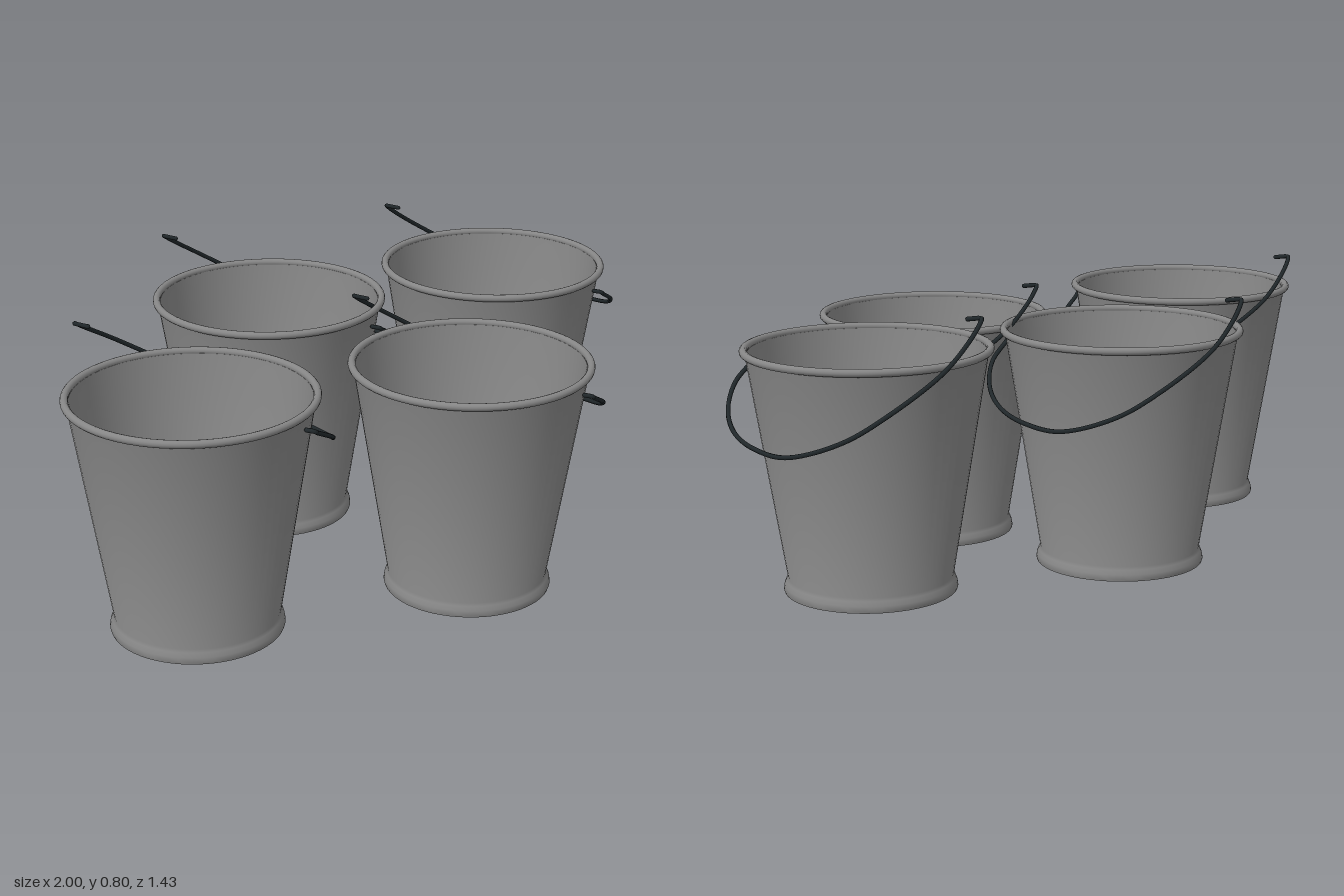
import * as THREE from 'three';
import { toCreasedNormals } from 'three/addons/utils/BufferGeometryUtils.js';

const metal = new THREE.MeshStandardMaterial({ color: 0x868686 });
metal.name = 'greyMetal';
const wire = new THREE.MeshStandardMaterial({ color: 0x20272a });
wire.name = 'darkWire';

const add = (group, name, geometry, material) => {
  const mesh = new THREE.Mesh(geometry, material);
  mesh.name = name;
  group.add(mesh);
  return mesh;
};

const lathe = (points) => toCreasedNormals(
  new THREE.LatheGeometry(points.map(([r, y]) => new THREE.Vector2(r, y)), 64), 0.75);

// Tapered shell: base band, outer wall, inner wall, rounded floor edge
const shellGeometry = lathe([
  [0, 0], [0.226, 0], [0.228, 0.006], [0.226, 0.018], [0.221, 0.03], [0.217, 0.038],
  [0.313, 0.634], [0.306, 0.634], [0.211, 0.045], [0.205, 0.034], [0.196, 0.029], [0, 0.029],
]);

// Rolled lip
const rimGeometry = new THREE.TorusGeometry(0.316, 0.0105, 12, 64);
rimGeometry.rotateX(Math.PI / 2);

// Swung-down wire handle with a small hook at each end, relative to the bucket
const handlePath = new THREE.CatmullRomCurve3([
  [-0.104, 0.751, -0.316], [-0.125, 0.755, -0.346], [-0.118, 0.751, -0.356],
  [-0.056, 0.711, -0.397], [0.046, 0.648, -0.434], [0.185, 0.56, -0.413],
  [0.276, 0.498, -0.359], [0.361, 0.45, -0.242], [0.383, 0.447, -0.107],
  [0.367, 0.462, 0.037], [0.319, 0.496, 0.16], [0.255, 0.542, 0.24],
  [0.185, 0.582, 0.278], [0.172, 0.591, 0.286], [0.16, 0.592, 0.268],
].map((p) => new THREE.Vector3(...p)));
const handleGeometry = new THREE.TubeGeometry(handlePath, 140, 0.006, 8);
const tipGeometry = new THREE.SphereGeometry(0.006, 8, 6);

function makeBucket() {
  const bucket = new THREE.Group();
  bucket.name = 'bucket';
  add(bucket, 'shell', shellGeometry, metal);
  add(bucket, 'rim', rimGeometry, metal).position.y = 0.638;
  add(bucket, 'handle', handleGeometry, wire);
  for (const t of [0, 1]) {
    add(bucket, 'handleTip', tipGeometry, wire).position.copy(handlePath.getPoint(t));
  }
  return bucket;
}

export function createModel() {
  const model = new THREE.Group();
  model.name = 'buckets';
  // Bucket positions; the front one stands a little lower
  const places = [
    [-0.673, 0.037, 0.201],
    [-0.09, 0.037, -0.291],
    [0.609, 0.037, -0.143],
    [0.093, 0, 0.375],
  ];
  for (const place of places) {
    const bucket = makeBucket();
    bucket.position.set(...place);
    model.add(bucket);
  }
  return model;
}
